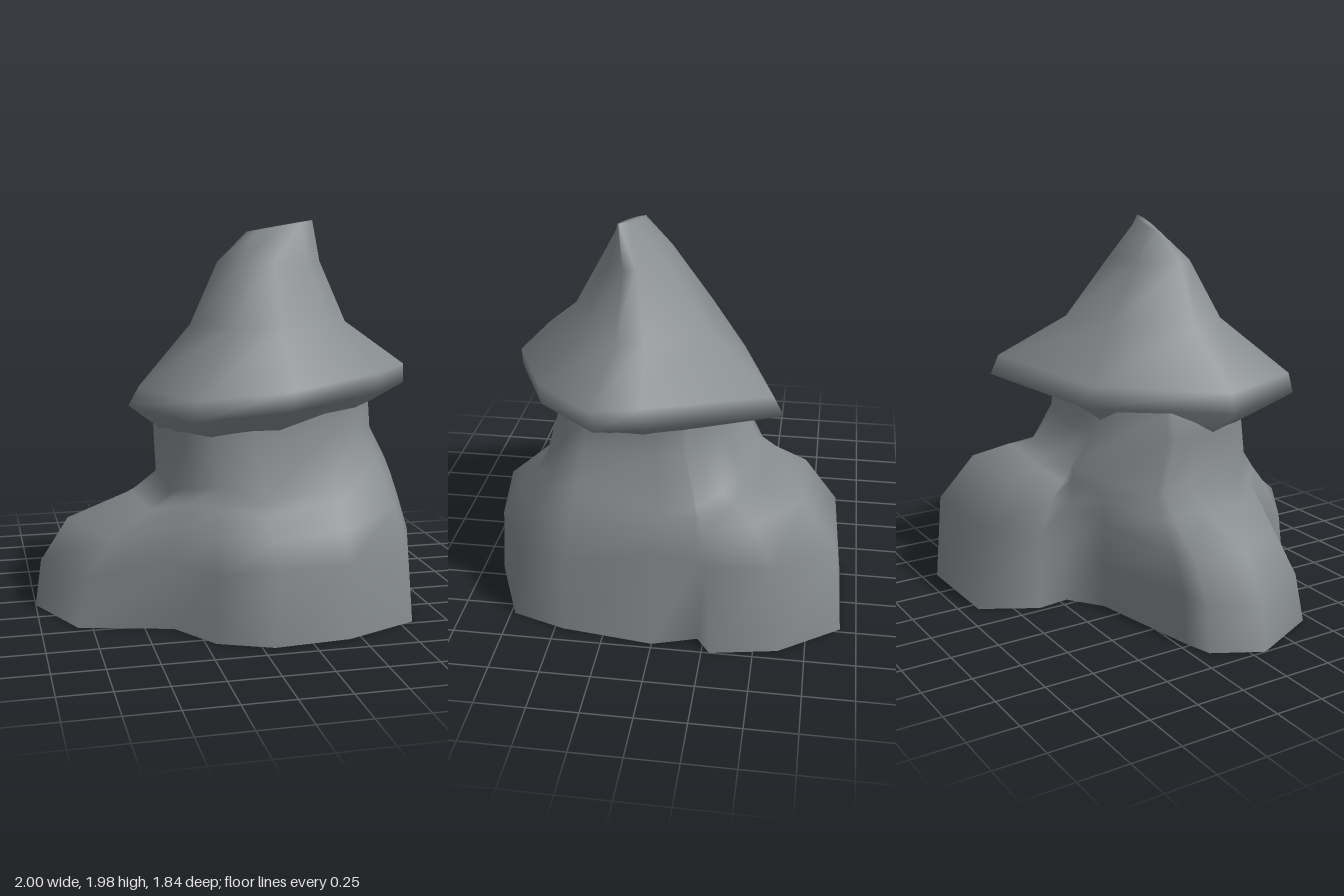
import * as THREE from 'three';

const lerp = THREE.MathUtils.lerp;

// Skins a stack of closed rings, listed bottom to top, with smooth normals
function loft(rings, capTop) {
  const n = rings[0].length;
  const pos = rings.flat(2);
  const index = [];
  for (let j = 0; j < rings.length - 1; j++) {
    for (let i = 0; i < n; i++) {
      const k = (i + 1) % n;
      const a = j * n + i, b = a + n, c = j * n + k, d = c + n;
      index.push(a, b, c, c, b, d);
    }
  }
  if (capTop) {
    const top = rings[rings.length - 1];
    const mid = [0, 1, 2].map((c) => top.reduce((s, p) => s + p[c], 0) / n);
    pos.push(...mid);
    const base = (rings.length - 1) * n;
    for (let i = 0; i < n; i++) index.push(base + i, rings.length * n, base + (i + 1) % n);
  }
  const geo = new THREE.BufferGeometry();
  geo.setAttribute('position', new THREE.Float32BufferAttribute(pos, 3));
  geo.setIndex(index);
  geo.computeVertexNormals();
  return geo;
}

// Ground outline of the lower rock: x, z, then inset and height of the wall top,
// inset and height of the shoulder, and height of the waist (insets run 0 to 1 towards the waist)
const SPOKES = [
  [0.97, 0, 0.35, 0.49, 0.7, 0.59, 0.68],
  [0.91, 0.46, 0.15, 0.4, 0.5, 0.57, 0.77],
  [0.82, 0.73, 0.16, 0.38, 0.5, 0.57, 0.8],
  [0.44, 0.89, 0.08, 0.36, 0.4, 0.51, 0.71],
  [0.06, 0.92, 0, 0.38, 0.4, 0.48, 0.63],
  [-0.2, 0.81, 0.14, 0.32, 0.4, 0.48, 0.7],
  [-0.36, 0.57, 0.1, 0.34, 0.4, 0.5, 0.68],
  [-0.82, 0.45, 0.11, 0.24, 0.36, 0.42, 0.63],
  [-1, 0.07, 0.05, 0.24, 0.27, 0.46, 0.67],
  [-0.87, -0.17, 0.06, 0.24, 0.32, 0.42, 0.65],
  [-0.73, -0.21, 0.1, 0.24, 0.4, 0.4, 0.63],
  [-0.13, -0.33, 0.2, 0.25, 0.5, 0.48, 0.72],
  [0.05, -0.46, 0.25, 0.32, 0.55, 0.55, 0.76],
  [0.03, -0.63, 0.1, 0.4, 0.4, 0.58, 0.72],
  [0.19, -0.91, 0.1, 0.44, 0.45, 0.66, 0.76],
  [0.73, -0.92, 0.07, 0.46, 0.41, 0.69, 0.76],
  [0.94, -0.62, 0.12, 0.45, 0.48, 0.63, 0.73],
  [1, -0.29, 0.27, 0.46, 0.56, 0.59, 0.68],
  [0.9, -0.22, 0.2, 0.45, 0.55, 0.58, 0.68],
];

// Point on a slightly boxy oval
function oval(cx, cz, rx, rz, a, y) {
  const box = (v) => Math.sign(v) * Math.abs(v) ** 0.78;
  return [cx + rx * box(Math.cos(a)), y, cz + rz * box(Math.sin(a))];
}

function lowerRock() {
  const rings = [[], [], [], [], [], [], []];
  for (const [x, z, wallIn, wall, shoulderIn, shoulder, waist] of SPOKES) {
    const a = Math.atan2(z - 0.12, x - 0.22);
    const [wx, , wz] = oval(0.24, 0.1, 0.59, 0.54, a, waist);
    const at = (t, y) => [lerp(x, wx, t), y, lerp(z, wz, t)];
    rings[0].push(at(0, 0));
    rings[1].push(at(wallIn, wall));
    rings[2].push(at(shoulderIn, shoulder));
    rings[3].push(at(0.78, lerp(shoulder, waist, 0.5) + 0.02));
    rings[4].push(at(1, waist));
    // neck, running up into the cap
    rings[5].push(oval(0.19, 0.12, 0.56, 0.46, a, 0.93));
    rings[6].push(oval(0.2, 0.12, 0.54, 0.45, a, 1.06));
  }
  return loft(rings, false);
}

// Overhanging rim of the cap rock: x, y, z
const RIM = [
  [0.92, 1.17, 0.02], [0.92, 1.14, 0.27], [0.67, 1.14, 0.57], [0.17, 1.1, 0.79],
  [-0.31, 1.06, 0.75], [-0.52, 1.06, 0.21], [-0.08, 1.08, -0.39], [0.64, 1.14, -0.59],
];

function capRock() {
  // Scaled copy of the rim; round softens its corners, shear turns a flattened ring
  const ring = (cx, cz, rx, rz, round, height, shear = 0) => RIM.map(([x, y, z]) => {
    const u = (x - 0.2) / 0.72, v = (z - 0.1) / 0.69;
    const k = Math.hypot(u, v) ** -round;
    const px = cx + u * k * rx;
    return [px, height(px, y), cz + v * k * rz + (px - cx) * shear];
  });
  return loft([
    ring(0.19, 0.12, 0.5, 0.41, 0.7, (x) => 0.93 + 0.12 * x),
    RIM,
    ring(0.22, 0.125, 0.69, 0.665, 0, (x, y) => y + 0.1),
    ring(0.21, 0.12, 0.41, 0.38, 0.6, () => 1.46),
    ring(0.21, 0.155, 0.27, 0.175, 0.6, () => 1.77),
    ring(0.265, 0.18, 0.16, 0.025, 0, (x) => 1.92 + 0.18 * (x - 0.11), 0.25),
  ], true);
}

export function createModel() {
  const stone = new THREE.MeshStandardMaterial({ color: 0x868b8d, side: THREE.DoubleSide });
  stone.name = 'grey stone';
  const group = new THREE.Group();
  group.name = 'rockFormation';
  for (const [name, geo] of [['lowerRock', lowerRock()], ['capRock', capRock()]]) {
    const mesh = new THREE.Mesh(geo, stone);
    mesh.name = name;
    group.add(mesh);
  }
  return group;
}
